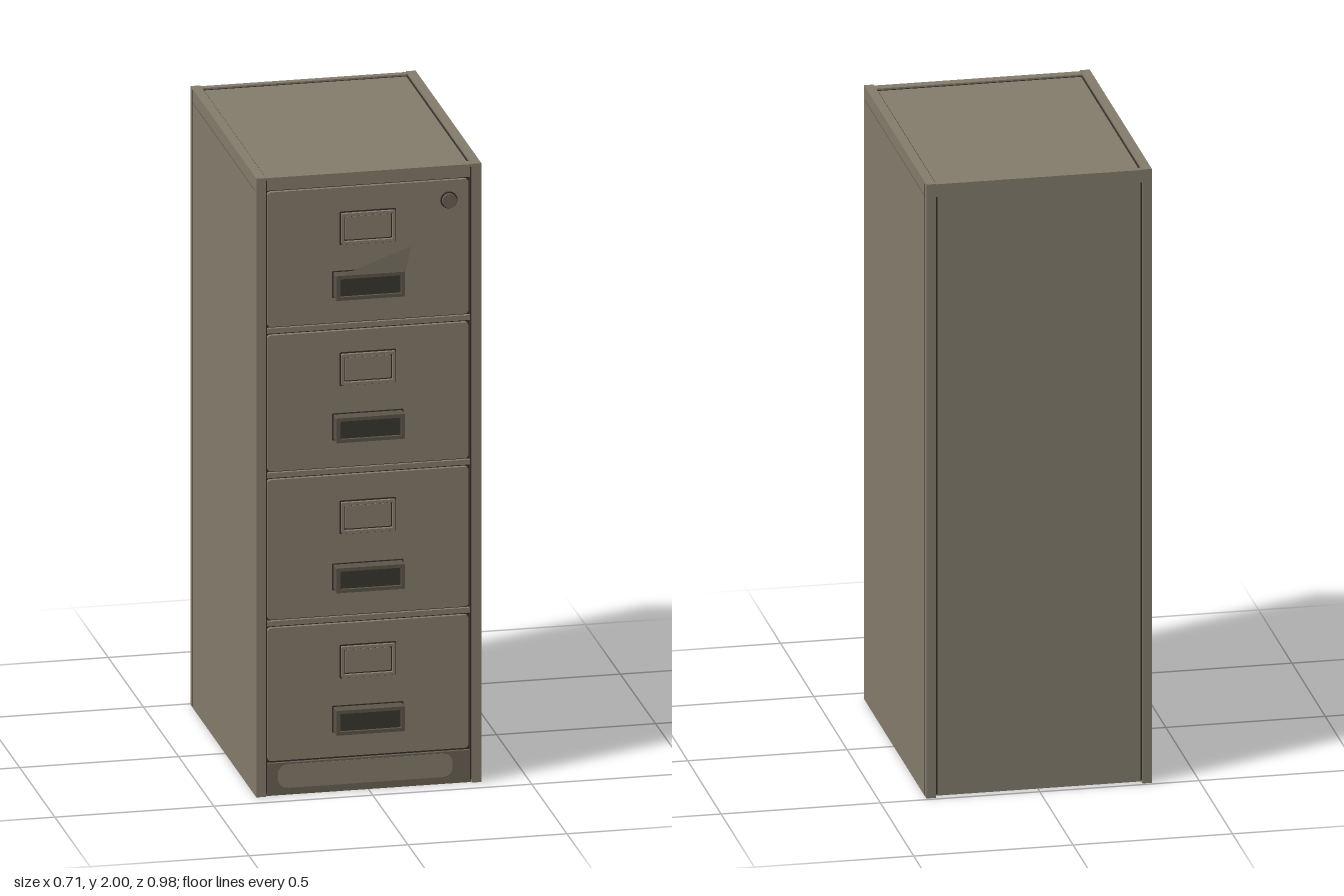
import * as THREE from 'three';

const paint = new THREE.MeshStandardMaterial({ color: 0x857d6d });
paint.name = 'cabinet paint';
const worn = new THREE.MeshStandardMaterial({ color: 0x6a6354 });
worn.name = 'worn paint';
const trim = new THREE.MeshStandardMaterial({ color: 0x5c5649 });
trim.name = 'handle trim';
const recess = new THREE.MeshStandardMaterial({ color: 0x3b382f });
recess.name = 'dark recess';
const seam = new THREE.MeshStandardMaterial({ color: 0x34302a });
seam.name = 'seam shadow';

// Box given by its lower and upper corners
function box(parent, name, mat, [x0, y0, z0], [x1, y1, z1]) {
  const mesh = new THREE.Mesh(new THREE.BoxGeometry(x1 - x0, y1 - y0, z1 - z0), mat);
  mesh.position.set((x0 + x1) / 2, (y0 + y1) / 2, (z0 + z1) / 2);
  mesh.name = name;
  parent.add(mesh);
  return mesh;
}

function roundedRect(target, w, h, r) {
  const x = w / 2, y = h / 2;
  target.moveTo(-x + r, -y);
  target.lineTo(x - r, -y);
  target.quadraticCurveTo(x, -y, x, -y + r);
  target.lineTo(x, y - r);
  target.quadraticCurveTo(x, y, x - r, y);
  target.lineTo(-x + r, y);
  target.quadraticCurveTo(-x, y, -x, y - r);
  target.lineTo(-x, -y + r);
  target.quadraticCurveTo(-x, -y, -x + r, -y);
  return target;
}

// Rounded plate, with an optional rectangular opening [width, height]
function plate(parent, name, mat, [x, y, z], [w, h, depth], r, hole) {
  const shape = roundedRect(new THREE.Shape(), w, h, r);
  if (hole) shape.holes.push(roundedRect(new THREE.Path(), hole[0], hole[1], 0.003));
  const geo = new THREE.ExtrudeGeometry(shape, { depth, bevelEnabled: false, curveSegments: 4 });
  const mesh = new THREE.Mesh(geo, mat);
  mesh.position.set(x, y, z);
  mesh.name = name;
  parent.add(mesh);
}

function makeDrawer(y0, y1, labelY, handleY) {
  const drawer = new THREE.Group();
  drawer.name = 'drawer';
  const mid = (y0 + y1) / 2;
  plate(drawer, 'drawerFront', paint, [-0.002, mid, 0.42], [0.632, y1 - y0 - 0.012, 0.021], 0.012);

  // Label holder: outlined frame around a flat card
  plate(drawer, 'labelOutline', seam, [-0.003, labelY, 0.44], [0.178, 0.108, 0.004], 0.005);
  plate(drawer, 'labelFrame', paint, [-0.003, labelY, 0.441], [0.17, 0.1, 0.014], 0.004, [0.152, 0.082]);
  plate(drawer, 'labelCard', paint, [-0.003, labelY, 0.442], [0.143, 0.074, 0.004], 0.003);

  // Pull handle: hollow surround with a dark cavity
  plate(drawer, 'handleOutline', seam, [-0.003, handleY, 0.44], [0.224, 0.086, 0.004], 0.003);
  plate(drawer, 'handleSurround', trim, [-0.003, handleY, 0.441], [0.216, 0.08, 0.044], 0.003, [0.192, 0.058]);
  box(drawer, 'handleCavity', recess, [-0.1, handleY - 0.031, 0.441], [0.094, handleY + 0.031, 0.476]);
  return drawer;
}

export function createModel() {
  const cabinet = new THREE.Group();
  cabinet.name = 'filingCabinet';

  // Shell
  box(cabinet, 'core', paint, [-0.322, 0.006, -0.487], [0.322, 1.992, 0.415]);
  box(cabinet, 'drawerGapBacking', seam, [-0.322, 0.1, 0.415], [0.322, 1.96, 0.428]);
  for (const s of [-1, 1]) {
    const side = new THREE.Group();
    side.name = s > 0 ? 'leftSide' : 'rightSide';
    const xs = (a, b) => (s > 0 ? [a, b] : [-b, -a]);
    const [a, b] = xs(0.324, 0.354);
    box(side, 'sidePanel', paint, [a, 0, -0.49], [b, 2, 0.445]);
    // Seams on the side, top and back
    const [c, d] = xs(0.35, 0.3545);
    box(side, 'rearSeam', seam, [c, 0.005, -0.468], [d, 1.995, -0.464]);
    box(side, 'upperSeam', trim, [c, 1.955, -0.464], [d, 1.957, 0.43]);
    const [e, f] = xs(0.319, 0.3245);
    box(side, 'topSeam', seam, [e, 1.98, -0.487], [f, 1.9935, 0.44]);
    box(side, 'backSeam', seam, [e, 0.01, -0.4876], [f, 1.99, -0.48]);
    box(side, 'frontSeam', seam, [e, 0.01, 0.42], [f, 1.99, 0.4415]);
    cabinet.add(side);
  }

  // Top rim and its seams
  box(cabinet, 'topFrontRim', paint, [-0.324, 1.957, 0.41], [0.324, 1.998, 0.441]);
  box(cabinet, 'topBackRim', paint, [-0.324, 1.957, -0.488], [0.324, 1.998, -0.466]);
  for (const z of [-0.465, 0.408])
    box(cabinet, 'rimSeam', seam, [-0.32, 1.98, z - 0.002], [0.32, 1.9932, z + 0.002]);

  // Drawers: bottom, top, label height, handle height
  const rows = [
    [0.107, 0.548, 0.42, 0.235],
    [0.564, 1.027, 0.886, 0.695],
    [1.043, 1.494, 1.365, 1.18],
    [1.51, 1.957, 1.82, 1.64],
  ];
  rows.forEach((row, i) => {
    cabinet.add(makeDrawer(...row));
    if (i < 3) box(cabinet, 'drawerRail', paint, [-0.322, row[1], 0.42], [0.322, rows[i + 1][0], 0.439]);
  });

  // Bent flap above the top handle
  const flapGeo = new THREE.BufferGeometry();
  flapGeo.setAttribute('position', new THREE.Float32BufferAttribute(
    [-0.1, 1.68, 0.484, 0.108, 1.682, 0.484, 0.122, 1.762, 0.49], 3));
  flapGeo.computeVertexNormals();
  const flap = new THREE.Mesh(flapGeo, paint);
  flap.name = 'bentFlap';
  cabinet.add(flap);

  // Lock on the top drawer
  const lock = new THREE.Group();
  lock.name = 'lock';
  [[0.027, 0.006, seam], [0.023, 0.016, worn]].forEach(([r, h, mat]) => {
    const disc = new THREE.Mesh(new THREE.CylinderGeometry(r, r, h, 16), mat);
    disc.rotation.x = Math.PI / 2;
    disc.position.set(0.252, 1.888, 0.44 + h / 2);
    disc.name = mat === seam ? 'lockRing' : 'lockBarrel';
    lock.add(disc);
  });
  cabinet.add(lock);

  // Kick plate with a cleaner patch in the middle
  box(cabinet, 'kickPlate', worn, [-0.322, 0, 0.41], [0.322, 0.104, 0.438]);
  plate(cabinet, 'kickPatch', paint, [-0.01, 0.06, 0.437], [0.55, 0.076, 0.002], 0.035);

  return cabinet;
}
